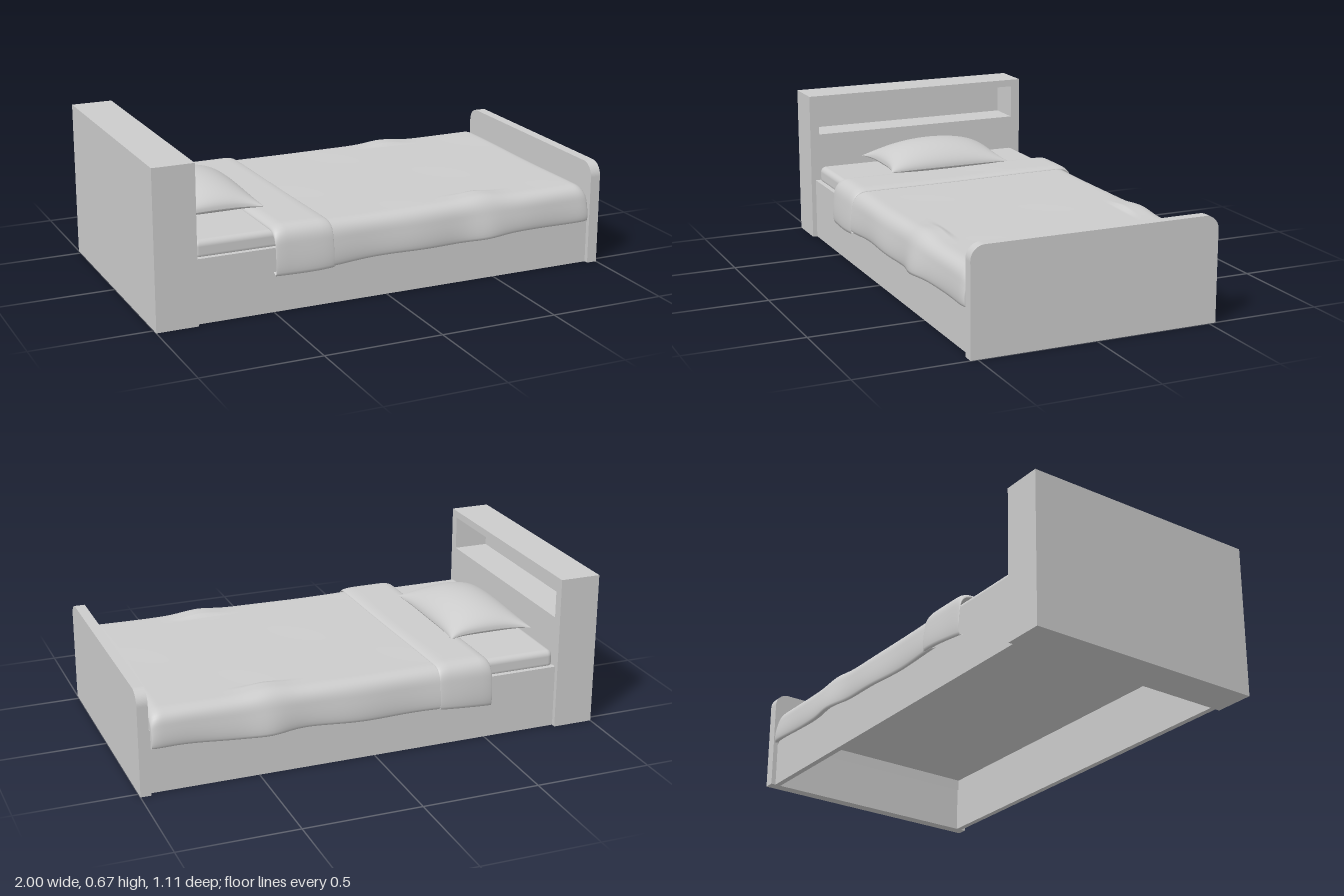
import * as THREE from 'three';
import { RoundedBoxGeometry } from 'three/addons/geometries/RoundedBoxGeometry.js';

const material = new THREE.MeshStandardMaterial({ color: 0xcccccc, roughness: 0.9 });
const cloth = new THREE.MeshStandardMaterial({ color: 0xcccccc, roughness: 1, side: THREE.DoubleSide });

function add(group, name, geometry, mat = material) {
  const mesh = new THREE.Mesh(geometry, mat);
  mesh.name = name;
  group.add(mesh);
  return mesh;
}

// Box given by its limits on each axis
function box(x0, x1, y0, y1, z0, z1) {
  return new THREE.BoxGeometry(x1 - x0, y1 - y0, z1 - z0)
    .translate((x0 + x1) / 2, (y0 + y1) / 2, (z0 + z1) / 2);
}

// Board drawn in the cross-bed plane and extruded along x
function board(shape, x0, x1) {
  return new THREE.ExtrudeGeometry(shape, { depth: x1 - x0, bevelEnabled: false, curveSegments: 10 })
    .rotateY(Math.PI / 2).translate(x0, 0, 0);
}

// Smooth surface over a grid of points
function surface(point, nu, nv) {
  const positions = [], index = [];
  for (let i = 0; i <= nu; i++)
    for (let j = 0; j <= nv; j++) {
      positions.push(...point(i / nu, j / nv));
      if (i < nu && j < nv) {
        const a = i * (nv + 1) + j, b = a + nv + 1;
        index.push(a, b, a + 1, b, b + 1, a + 1);
      }
    }
  const g = new THREE.BufferGeometry();
  g.setAttribute('position', new THREE.Float32BufferAttribute(positions, 3));
  g.setIndex(index);
  g.computeVertexNormals();
  return g;
}

// Cloth hanging over both sides of the bed, ends rounded down by `roll`
function drape({ x0, x1, hem, top, w, rise = 0, skew0 = 0, skew1 = 0, roll0, roll1, wall = 0, bulge = 0 }) {
  const path = new THREE.Path();
  path.moveTo(w - 0.025, hem + 0.012);
  path.lineTo(w - 0.002, hem);
  path.quadraticCurveTo(w + 0.008, hem + 0.03, w - 0.005, top - 0.07);
  path.quadraticCurveTo(w - 0.012, top, w - 0.075, top);
  path.lineTo(-w + 0.075, top);
  path.quadraticCurveTo(-w + 0.012, top, -w + 0.005, top - 0.07);
  path.quadraticCurveTo(-w - 0.008, hem + 0.03, -w + 0.002, hem);
  path.lineTo(-w + 0.025, hem + 0.012);
  const nv = 110, nu = 70, r = 0.05;
  const pts = path.getSpacedPoints(nv);
  return surface((u, v) => {
    const p = pts[Math.round(v * nv)];
    // Closer rows near both ends
    const t = (1 - Math.cos(Math.PI * u)) / 2;
    const x = x0 + (x1 - x0) * t;
    const arc = (d) => { const e = Math.max(0, 1 - d / r); return 1 - Math.sqrt(1 - e * e); };
    const drop = roll0 * arc(x - x0) + roll1 * arc(x1 - x);
    const k = Math.max(0, (p.y - hem) / (top - hem));
    const side = 1 - k;
    let y = p.y - drop * k + rise * t * side;
    // Soft wrinkles, stronger on the hanging sides
    y += 0.002 * Math.sin(9 * x + 2) * Math.sin(8 * p.x + 1) * k;
    y += 0.004 * Math.sin(11 * x + p.x * 3) * side;
    const gather = bulge * Math.exp(-(((x - 0.45) / 0.09) ** 2));
    if (Math.abs(p.x) > 0.4) y += 0.6 * gather * k;
    const z = p.x * (1 - 0.4 * drop) + Math.sign(p.x) * side * (gather + 0.005 * Math.sin(14 * x));
    // Tucked end behind the footboard
    if (wall && u === 1) y = Math.min(y, hem + rise);
    return [x + (skew0 * (1 - t) + skew1 * t) * p.x, y, z];
  }, nu, nv);
}

export function createModel() {
  const bed = new THREE.Group();
  bed.name = 'bed';

  // Headboard with a long shelf recess facing the mattress
  const head = new THREE.Group();
  head.name = 'headboard';
  bed.add(head);
  const face = new THREE.Shape();
  face.moveTo(-0.53, 0).lineTo(0.53, 0).lineTo(0.53, 0.665).lineTo(-0.53, 0.665).closePath();
  const recess = new THREE.Path();
  recess.moveTo(-0.487, 0.485).lineTo(-0.487, 0.633).lineTo(0.487, 0.633).lineTo(0.487, 0.485).closePath();
  face.holes.push(recess);
  add(head, 'headboardCase', board(face, -0.98, -0.825));
  add(head, 'headboardBack', box(-1, -0.98, 0, 0.665, -0.53, 0.53));

  // Footboard with rounded upper corners
  const foot = new THREE.Shape();
  foot.moveTo(-0.53, 0).lineTo(0.53, 0).lineTo(0.53, 0.385);
  foot.absarc(0.47, 0.385, 0.06, 0, Math.PI / 2, false);
  foot.absarc(-0.47, 0.385, 0.06, Math.PI / 2, Math.PI, false);
  foot.closePath();
  add(bed, 'footboard', board(foot, 0.955, 1));

  // Side rails and the platform between them
  for (const s of [-1, 1]) {
    add(bed, s > 0 ? 'frontRail' : 'backRail',
      box(-0.825, 0.955, 0, 0.27, s * 0.497 - 0.0125, s * 0.497 + 0.0125));
  }
  add(bed, 'platform', box(-0.825, 0.955, 0.245, 0.262, -0.485, 0.485));

  // Mattress
  const mattress = add(bed, 'mattress', new RoundedBoxGeometry(1.76, 0.08, 0.98, 4, 0.025));
  mattress.position.set(0.055, 0.296, 0);

  // Blanket and its turned-down band
  add(bed, 'blanket', drape({
    x0: -0.32, x1: 0.946, hem: 0.168, top: 0.345, w: 0.533, rise: 0.028,
    roll0: 0, roll1: 0.04, wall: 1, bulge: 0.022,
  }), cloth);
  add(bed, 'blanketFold', drape({
    x0: -0.508, x1: -0.265, hem: 0.157, top: 0.357, w: 0.545, rise: 0.012,
    skew0: 0.015, skew1: 0.025, roll0: 0.022, roll1: 0.012,
  }), cloth);

  // Pillow: two domed skins meeting at a pinched seam
  const pillow = new THREE.Group();
  pillow.name = 'pillow';
  pillow.position.set(-0.632, 0.373, -0.004);
  bed.add(pillow);
  const skin = (height) => surface((a, b) => {
    const u = Math.sin((a - 0.5) * Math.PI), v = Math.sin((0.5 - b) * Math.PI);
    const puff = Math.pow(Math.max(0, 1 - u * u), 0.55) * Math.pow(Math.max(0, 1 - v * v), 0.45);
    const pinchX = 1 - 0.07 * (1 - v ** 4), pinchZ = 1 - 0.09 * (1 - u ** 4);
    return [0.19 * u * pinchX, height * puff - 0.006 * u * u, 0.287 * v * pinchZ];
  }, 32, 32);
  add(pillow, 'pillowTop', skin(0.092), cloth);
  add(pillow, 'pillowUnderside', skin(-0.038), cloth);

  return bed;
}
